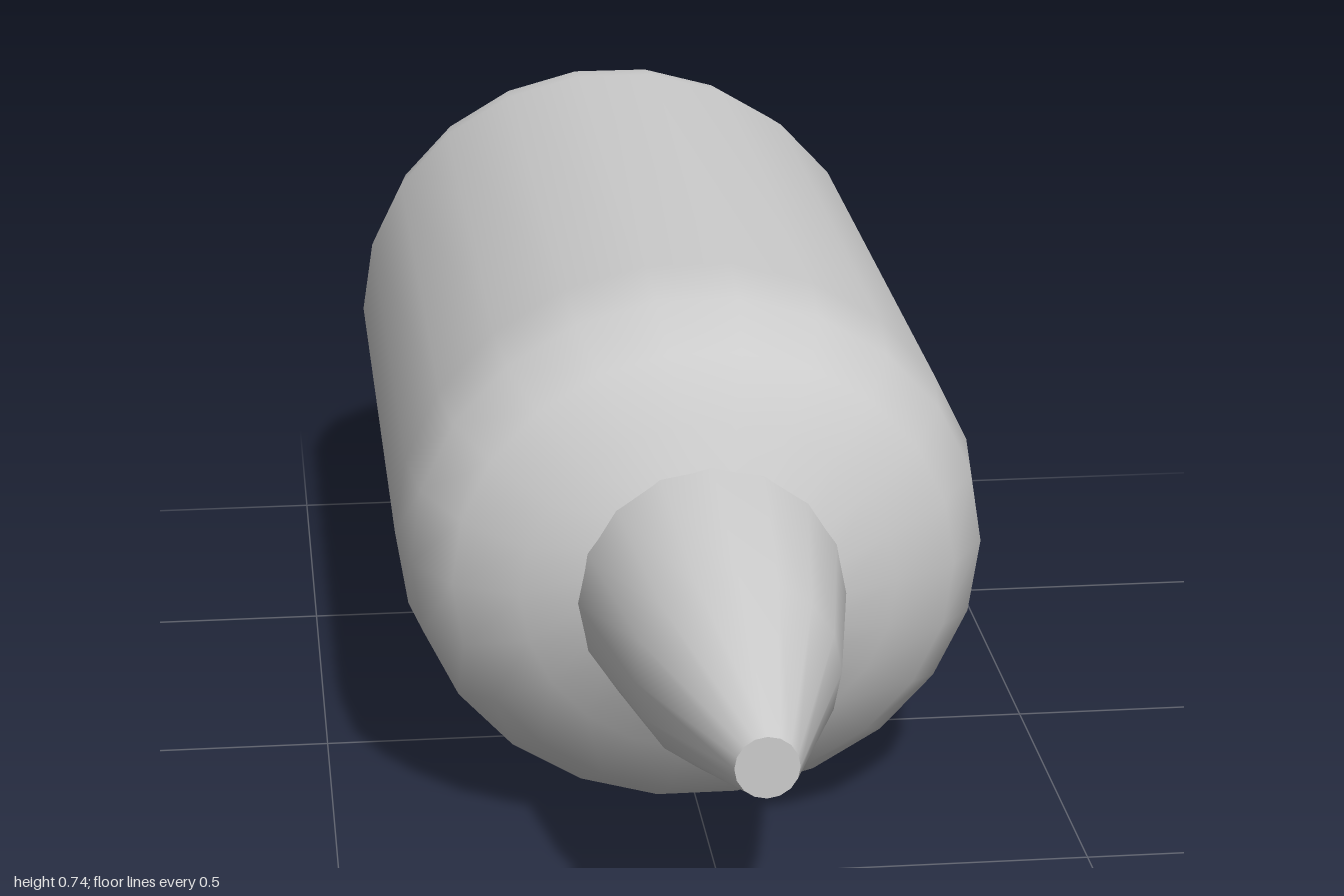
import * as THREE from 'three';

const CENTRE_Y = 0.369;

// Lathe around the z axis; profile is [radius, z] from back to front.
function turned(name, profile, sides, squash = 1) {
  const points = profile.map(([r, z]) => new THREE.Vector2(r, z));
  const geometry = new THREE.LatheGeometry(points, sides, Math.PI / 2);
  geometry.rotateX(Math.PI / 2);
  geometry.scale(1, squash, 1);
  const material = new THREE.MeshStandardMaterial({ color: 0xcccccc });
  const mesh = new THREE.Mesh(geometry, material);
  mesh.name = name;
  mesh.position.y = CENTRE_Y;
  return mesh;
}

export function createModel() {
  const group = new THREE.Group();
  group.name = 'nozzleBottle';
  const squash = 0.925; // the body is slightly oval

  // Oval body with a rounded shoulder
  group.add(turned('body', [
    [0.39, -0.97], [0.403, -0.89], [0.403, 0.14], [0.388, 0.26],
    [0.337, 0.345], [0.25, 0.4], [0.165, 0.443],
  ], 22, squash));

  // Bevelled back end, with a sharp edge against the body
  group.add(turned('backCap', [[0, -1], [0.31, -1], [0.39, -0.97]], 22, squash));

  // Tapered nozzle, sunk a little into the shoulder
  group.add(turned('nozzle', [[0.18, 0.42], [0.177, 0.44], [0.132, 0.71], [0.04, 1]], 16));

  // Flat end of the nozzle
  group.add(turned('nozzleTip', [[0.04, 1], [0, 1]], 16));

  return group;
}
